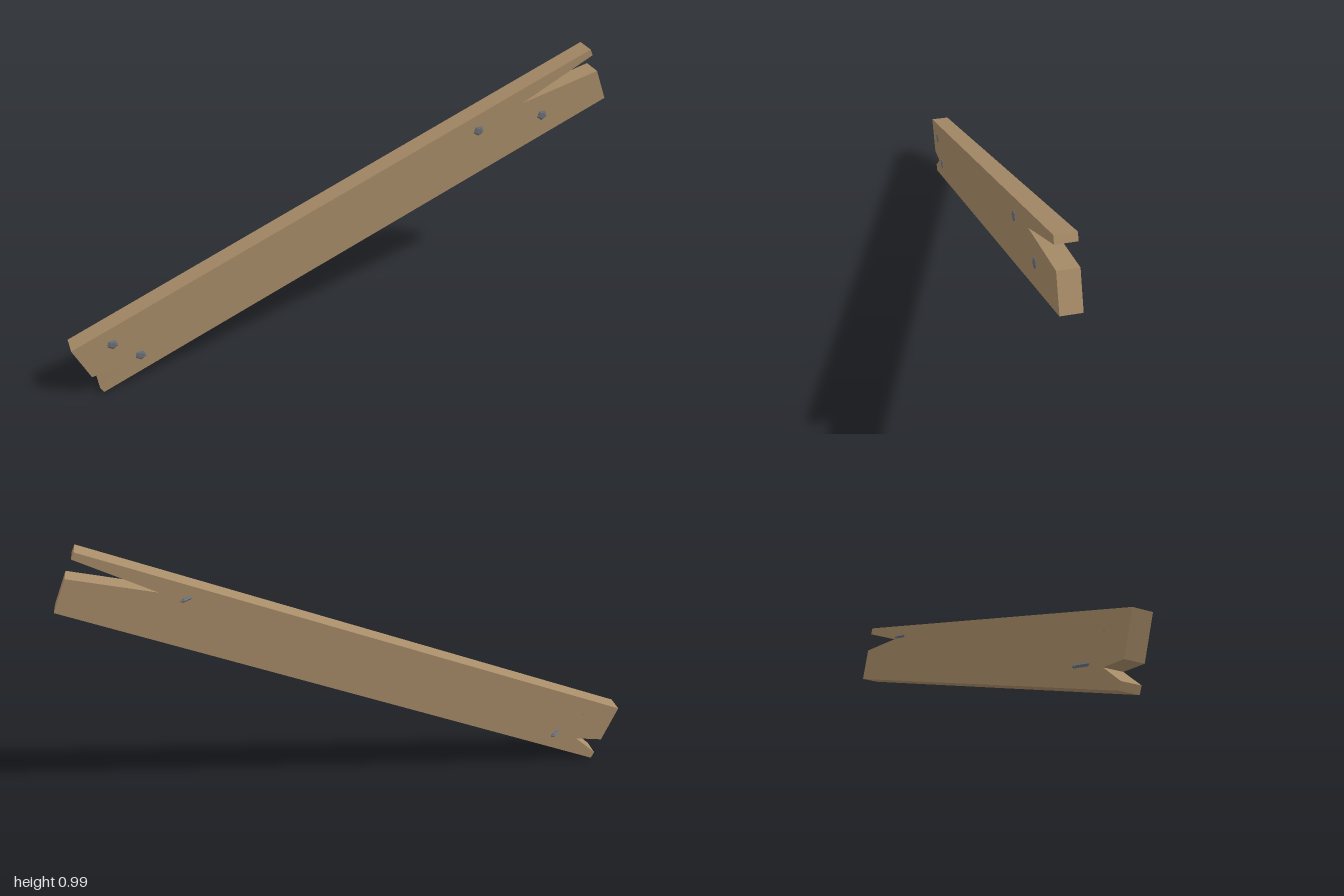
import * as THREE from 'three';

export function createModel() {
  const group = new THREE.Group();
  const wood = new THREE.MeshStandardMaterial({ color: 0xa98d69 });
  wood.name = 'wood';
  const iron = new THREE.MeshStandardMaterial({ color: 0x6c7078 });
  iron.name = 'iron';

  const back = -0.02, front = 0.047;

  // Slanted plank with a split at each end
  const outline = [
    [-1, 0.212], [-0.946, 0.08], [-0.845, 0.096], [-0.925, 0.024], [-0.914, 0],
    [1, 0.783], [0.952, 0.9], [0.658, 0.828], [0.924, 0.966], [0.913, 0.99],
  ].map(([x, y]) => new THREE.Vector2(x, y));
  const plankGeometry = new THREE.ExtrudeGeometry(new THREE.Shape(outline), {
    depth: front - back, bevelEnabled: false,
  });
  plankGeometry.translate(0, 0, back);
  const plank = new THREE.Mesh(plankGeometry, wood);
  plank.name = 'plank';
  group.add(plank);

  // Five-sided iron piece between two points
  function rod(name, from, to, r0, r1) {
    const a = new THREE.Vector3(...from), b = new THREE.Vector3(...to);
    const dir = b.clone().sub(a);
    const geometry = new THREE.CylinderGeometry(r1, r0, dir.length(), 5).toNonIndexed();
    geometry.computeVertexNormals();
    const mesh = new THREE.Mesh(geometry, iron);
    mesh.name = name;
    mesh.position.copy(a).add(b).multiplyScalar(0.5);
    mesh.quaternion.setFromUnitVectors(new THREE.Vector3(0, 1, 0), dir.normalize());
    group.add(mesh);
  }

  // Low domed nail heads
  for (const [x, y] of [[0.492, 0.753], [0.743, 0.765], [-0.861, 0.201], [-0.771, 0.126]]) {
    rod('nailHead', [x, y, front - 0.004], [x, y, front + 0.002], 0.02, 0.02);
    rod('nailHeadDome', [x, y, front + 0.002], [x, y, front + 0.005], 0.02, 0.012);
  }

  // Bent nail ends sticking out of the back
  for (const [x, y, reach] of [[0.56, 0.802, 0.023], [-0.77, 0.136, 0.028]]) {
    rod('nailShank', [x - 0.01, y, back + 0.01], [x + reach, y, back - reach + 0.004], 0.007, 0.007);
    rod('nailTip', [x + reach, y, back - reach + 0.004], [x + reach + 0.008, y - 0.001, back - reach], 0.007, 0.003);
  }
  // Nail point just breaking through the back
  rod('nailPoint', [-0.861, 0.201, 0], [-0.861, 0.201, back - 0.001], 0.006, 0.002);

  return group;
}
